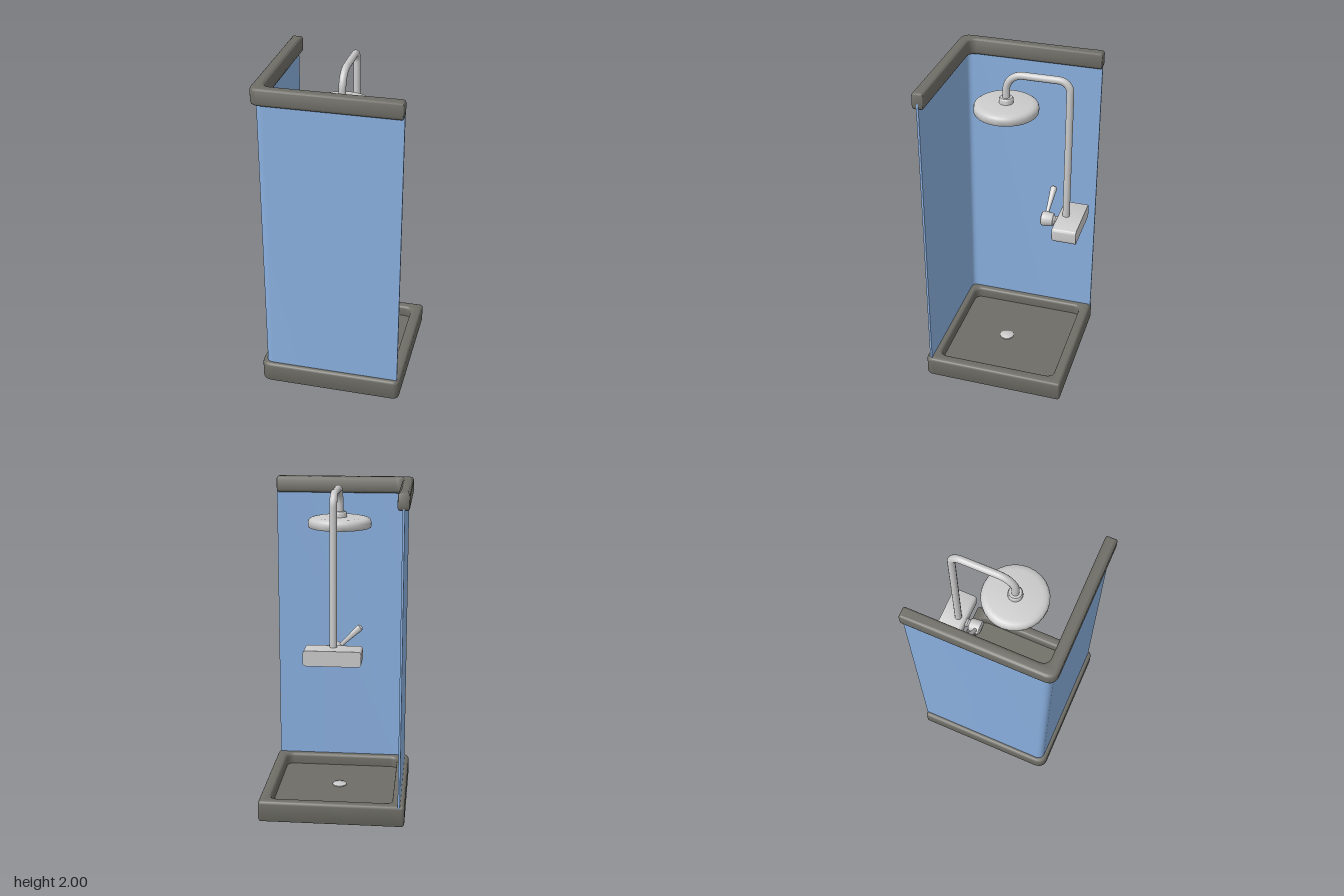
import * as THREE from 'three';
import { toCreasedNormals } from 'three/addons/utils/BufferGeometryUtils.js';
import { RoundedBoxGeometry } from 'three/addons/geometries/RoundedBoxGeometry.js';

const chrome = new THREE.MeshStandardMaterial({ color: 0xcccccc });
const stone = new THREE.MeshStandardMaterial({ color: 0x6e6d66 });
const glass = new THREE.MeshStandardMaterial({ color: 0x8ab0e0 });

// Closed outline through [x, z, cornerRadius] corners, drawn with y = -z
function outline(corners, PathType = THREE.Shape) {
  const path = new PathType();
  const n = corners.length;
  corners.forEach(([x, z, r], i) => {
    const p = new THREE.Vector2(x, -z);
    const toward = (c) => new THREE.Vector2(c[0], -c[1]).sub(p).setLength(r).add(p);
    const a = toward(corners[(i + n - 1) % n]);
    const b = toward(corners[(i + 1) % n]);
    if (i === 0) path.moveTo(a.x, a.y);
    else path.lineTo(a.x, a.y);
    if (r > 0) path.quadraticCurveTo(p.x, p.y, b.x, b.y);
  });
  path.closePath();
  return path;
}

// Upright slab from y0 to y1 with rounded top and bottom edges
function slab(shape, y0, y1, bevel = 0) {
  const geo = new THREE.ExtrudeGeometry(shape, {
    depth: y1 - y0 - 2 * bevel,
    bevelEnabled: bevel > 0,
    bevelSize: bevel,
    bevelThickness: bevel,
    bevelOffset: -bevel,
    bevelSegments: 4,
    curveSegments: 8,
  });
  geo.rotateX(-Math.PI / 2).translate(0, y0 + bevel, 0);
  return toCreasedNormals(geo, 0.7);
}

// L-shaped plan along the left and front sides, with a rounded corner
function lPlan(outer, inner, endX, endZ, radius, endRadius) {
  return outline([
    [-outer, endZ, endRadius],
    [-outer, outer, radius],
    [endX, outer, endRadius],
    [endX, inner, endRadius],
    [-inner, inner, radius * 0.8],
    [-inner, endZ, endRadius],
  ]);
}

function lathe(points, segments = 28) {
  const geo = new THREE.LatheGeometry(points.map(([r, y]) => new THREE.Vector2(r, y)), segments);
  return toCreasedNormals(geo, 0.7);
}

export function createModel() {
  const model = new THREE.Group();
  model.name = 'showerCubicle';
  const add = (name, geo, material, parent = model) => {
    const mesh = new THREE.Mesh(geo, material);
    mesh.name = name;
    parent.add(mesh);
    return mesh;
  };
  const cx = -0.011; // centre line of the fittings
  const headZ = 0.036;
  const riserZ = -0.342;

  // Tray rim with a recessed floor
  const rim = outline([
    [-0.445, -0.443, 0.02], [-0.445, 0.443, 0.07],
    [0.442, 0.443, 0.045], [0.442, -0.443, 0.02],
  ]);
  rim.holes.push(outline([
    [-0.368, -0.378, 0.05], [0.372, -0.378, 0.05],
    [0.372, 0.366, 0.05], [-0.368, 0.366, 0.05],
  ], THREE.Path));
  add('trayRim', slab(rim, 0, 0.135, 0.02), stone);
  add('trayFloor', slab(outline([
    [-0.405, -0.405, 0.03], [-0.405, 0.405, 0.03],
    [0.405, 0.405, 0.03], [0.405, -0.405, 0.03],
  ]), 0, 0.063), stone);

  // Drain cover
  const drain = add('drain', lathe([[0, 0], [0.045, 0], [0.045, 0.006], [0.04, 0.01], [0, 0.01]], 24), chrome);
  drain.position.set(cx, 0.063, headZ);

  // Glass walls and the rail on top of them
  add('glassWalls', slab(lPlan(0.417, 0.404, 0.426, -0.441, 0.05, 0), 0.11, 1.935), glass);
  add('topRail', slab(lPlan(0.445, 0.376, 0.425, -0.443, 0.065, 0.012), 1.897, 2, 0.02), stone);

  // Mixer body: rounded in front, flat against the wall
  const body = new RoundedBoxGeometry(0.34, 0.092, 0.153, 4, 0.02);
  const pos = body.attributes.position;
  for (let i = 0; i < pos.count; i++) {
    if (pos.getZ(i) < 0) pos.setZ(i, -0.0765);
  }
  add('mixerBody', toCreasedNormals(body, 0.7), chrome).position.set(cx, 1.041, -0.3665);

  // Knob, facing forward, and its lever
  const knob = add('mixerKnob', lathe([
    [0.03, 0], [0.022, 0.014], [0.026, 0.022], [0.037, 0.027], [0.041, 0.036],
    [0.046, 0.088], [0.044, 0.097], [0.037, 0.102], [0, 0.102],
  ], 20), chrome);
  knob.rotation.x = Math.PI / 2;
  knob.position.set(cx, 1.041, -0.291);

  const lever = add('mixerLever', lathe([
    [0, 0], [0.012, 0], [0.013, 0.05], [0.021, 0.158], [0.018, 0.17], [0.01, 0.175], [0, 0.176],
  ], 16), chrome);
  lever.position.set(-0.04, 1.062, -0.215);
  lever.quaternion.setFromUnitVectors(
    new THREE.Vector3(0, 1, 0),
    new THREE.Vector3(-0.125, 0.124, -0.01).normalize(),
  );

  // Riser pipe bending over to the shower head
  const top = 1.974;
  const v = (y, z) => new THREE.Vector3(cx, y, z);
  const path = new THREE.CurvePath();
  path.add(new THREE.LineCurve3(v(1.07, riserZ), v(top - 0.07, riserZ)));
  path.add(new THREE.CubicBezierCurve3(
    v(top - 0.07, riserZ), v(top - 0.03, riserZ), v(top, riserZ + 0.03), v(top, riserZ + 0.07)));
  path.add(new THREE.LineCurve3(v(top, riserZ + 0.07), v(top, headZ - 0.1)));
  path.add(new THREE.CubicBezierCurve3(
    v(top, headZ - 0.1), v(top, headZ - 0.045), v(top - 0.045, headZ), v(top - 0.1, headZ)));
  path.add(new THREE.LineCurve3(v(top - 0.1, headZ), v(1.8, headZ)));
  add('riserPipe', new THREE.TubeGeometry(path, 120, 0.022, 14), chrome);

  // Shower head with its collar
  const head = new THREE.Group();
  head.name = 'showerHead';
  head.position.set(cx, 1.733, headZ);
  model.add(head);
  add('headDisc', lathe([
    [0, 0], [0.186, 0], [0.191, 0.006], [0.192, 0.034], [0.187, 0.048], [0.174, 0.057], [0.15, 0.062], [0, 0.062],
  ]), chrome, head);
  add('headCollar', lathe([[0.043, 0.055], [0.043, 0.088], [0.037, 0.096], [0, 0.096]], 18), chrome, head);

  return model;
}
